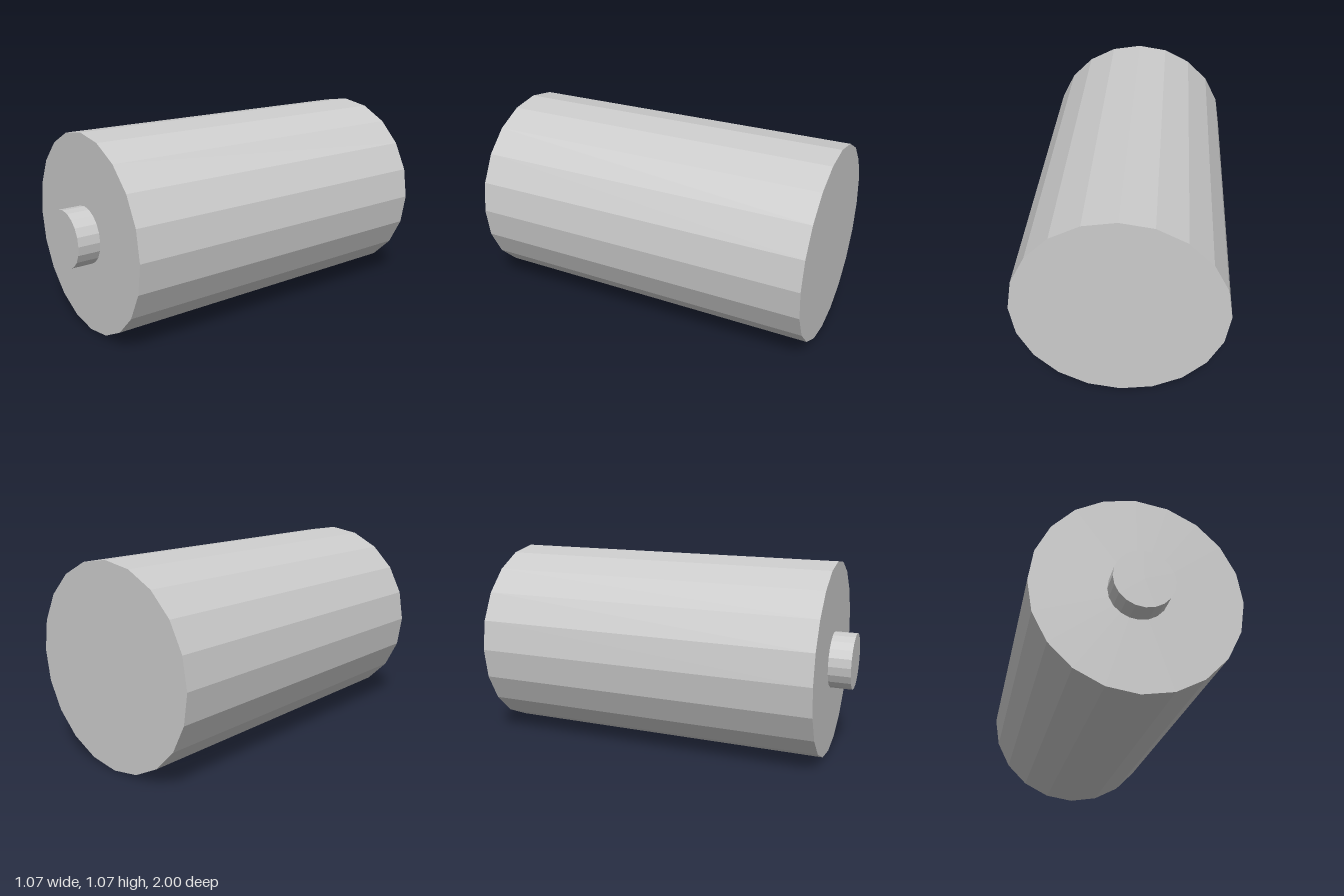
import * as THREE from 'three';

const RADIUS = 0.534;
const SIDES = 20;

// Faceted cylinder lying along z, from zBack to zFront
function barrel(name, radius, zBack, zFront, material) {
  const length = zFront - zBack;
  const geometry = new THREE.CylinderGeometry(radius, radius, length, SIDES);
  geometry.rotateX(Math.PI / 2);
  const mesh = new THREE.Mesh(geometry, material);
  mesh.name = name;
  mesh.position.set(0, RADIUS, (zBack + zFront) / 2);
  return mesh;
}

export function createModel() {
  const group = new THREE.Group();
  group.name = 'battery';
  const material = new THREE.MeshStandardMaterial({ color: 0xcccccc, flatShading: true });

  // Main cell body
  group.add(barrel('body', RADIUS, -1, 0.88, material));
  // Small raised contact on the front end
  group.add(barrel('terminal', 0.153, 0.88, 1, material));

  return group;
}
